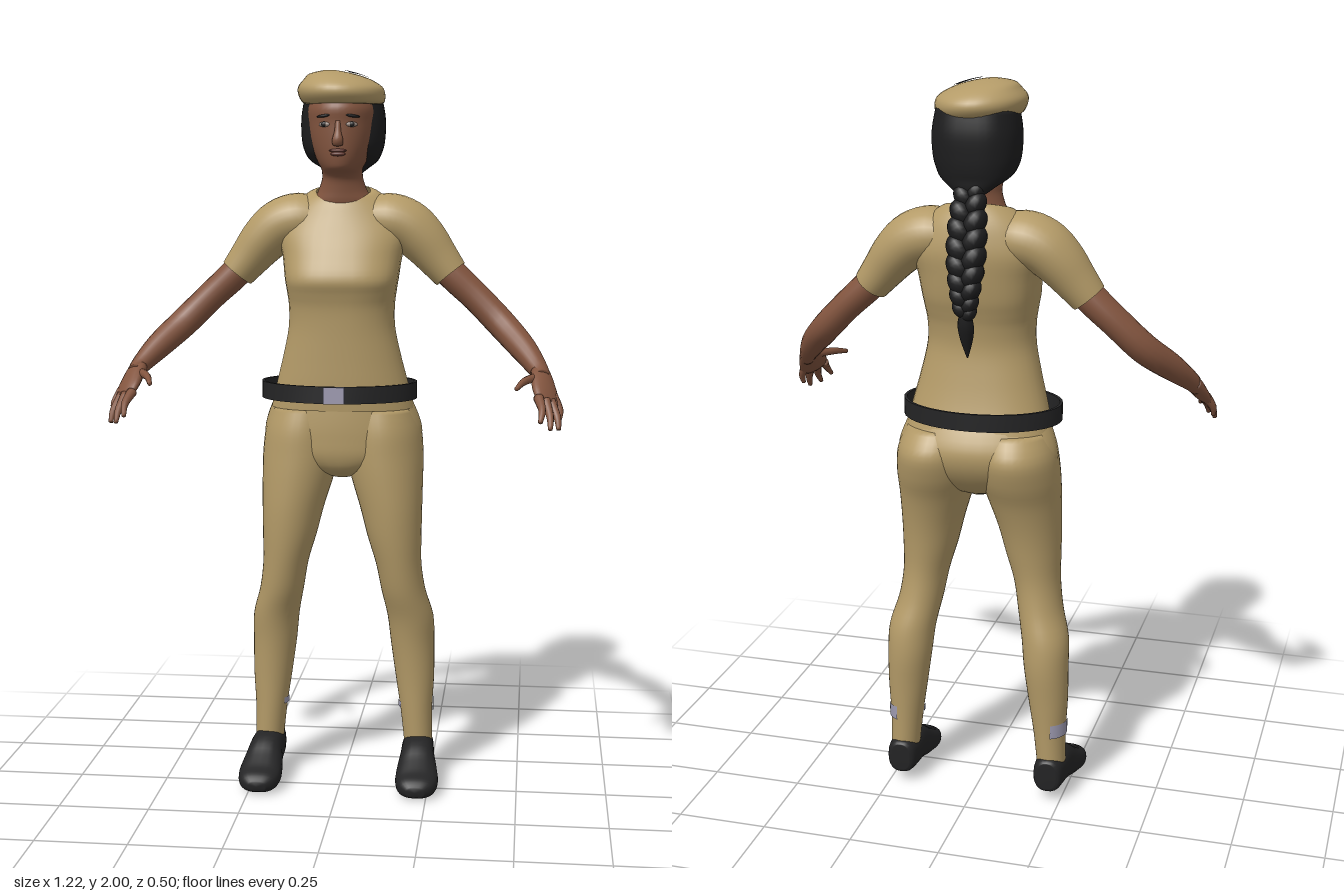
import * as THREE from 'three';
import { toCreasedNormals } from 'three/addons/utils/BufferGeometryUtils.js';

const material = (name, color) => {
  const m = new THREE.MeshStandardMaterial({ color });
  m.name = name;
  return m;
};
const V = (x, y, z) => new THREE.Vector3(x, y, z);

// Smoothly adds k steps between rows of numbers (Catmull-Rom per column)
function refine(rows, k) {
  const out = [], at = i => rows[Math.max(0, Math.min(rows.length - 1, i))];
  for (let i = 0; i < rows.length - 1; i++) {
    for (let j = 0; j < k; j++) {
      const t = j / k;
      out.push(rows[i].map((b, c) => {
        const a = at(i - 1)[c], d = at(i + 1)[c], e = at(i + 2)[c];
        return b + 0.5 * t * (d - a + t * (2 * a - 5 * b + 4 * d - e + t * (3 * (b - d) + e - a)));
      }));
    }
  }
  out.push(rows[rows.length - 1]);
  return out;
}

// Skins closed rings of points, optionally capping both ends
function skin(rings, caps) {
  const n = rings[0].length, pos = [], idx = [];
  rings.forEach(r => r.forEach(p => pos.push(p.x, p.y, p.z)));
  for (let i = 0; i < rings.length - 1; i++) {
    for (let j = 0; j < n; j++) {
      const a = i * n + j, b = i * n + (j + 1) % n;
      idx.push(a, a + n, b, b, a + n, b + n);
    }
  }
  if (caps) [0, rings.length - 1].forEach((r, end) => {
    const c = V(0, 0, 0), m = pos.length / 3;
    rings[r].forEach(p => c.addScaledVector(p, 1 / n));
    pos.push(c.x, c.y, c.z);
    for (let j = 0; j < n; j++) {
      const a = r * n + j, b = r * n + (j + 1) % n;
      if (end) idx.push(a, m, b); else idx.push(a, b, m);
    }
  });
  const g = new THREE.BufferGeometry();
  g.setAttribute('position', new THREE.Float32BufferAttribute(pos, 3));
  g.setIndex(idx);
  g.computeVertexNormals();
  return g;
}

const power = (v, e) => Math.sign(v) * Math.pow(Math.abs(v), e);

// Horizontal sections: [y, centreX, halfWidth, frontZ, backZ, roundness, frontLift]
function loft(rows, { caps = true, steps = 4, n = 36 } = {}) {
  const full = rows.map(([y, cx, rx, f, b, e = 1, lift = 0]) => [y, cx, rx, f, b, e, lift]);
  return skin(refine(full, steps).map(([y, cx, rx, f, b, e, lift]) =>
    Array.from({ length: n }, (_, j) => {
      const a = j / n * Math.PI * 2, s = power(Math.sin(a), e);
      return V(cx + rx * power(Math.cos(a), e), y + lift * s, (f + b) / 2 + (f - b) / 2 * s);
    })), caps);
}

// Sections across a path: [x, y, z, radius, radius along ref]
function limb(rows, { ref = V(0, 0, 1), caps = true, steps = 4, n = 16, e = 1 } = {}) {
  const r = refine(rows, steps), p = r.map(q => V(q[0], q[1], q[2]));
  return skin(r.map((q, i) => {
    const t = p[Math.min(i + 1, p.length - 1)].clone().sub(p[Math.max(i - 1, 0)]).normalize();
    const b = ref.clone().addScaledVector(t, -ref.dot(t)).normalize();
    const m = t.clone().cross(b);
    return Array.from({ length: n }, (_, j) => {
      const a = j / n * Math.PI * 2;
      return p[i].clone().addScaledVector(m, q[3] * power(Math.cos(a), e))
        .addScaledVector(b, q[4] * power(Math.sin(a), e));
    });
  }), caps);
}

export function createModel() {
  const model = new THREE.Group();
  model.name = 'uniformedWoman';
  const tan = material('khaki cloth', 0xb49b68), skinMat = material('brown skin', 0x83553f);
  const hair = material('black hair', 0x1d1d1e), leather = material('black leather', 0x242425);
  const metal = material('pale lavender', 0x9d9ab0), lip = material('lips', 0x653b33);
  const eyeWhite = material('eye white', 0x9b8a80);
  tan.side = THREE.DoubleSide;
  const add = (name, g, m, parent = model) => {
    const mesh = new THREE.Mesh(g, m);
    mesh.name = name;
    parent.add(mesh);
    return mesh;
  };
  const blob = (name, m, x, y, z, a, b, c, rz = 0) => {
    const mesh = add(name, new THREE.SphereGeometry(1, 16, 10), m);
    mesh.scale.set(a, b, c);
    mesh.position.set(x, y, z);
    mesh.rotation.z = rz;
    return mesh;
  };

  // Shirt and trousers
  add('shirt', loft([
    [1.08, 0, .2, .036, -.207, .9], [1.15, 0, .183, .04, -.187, .9], [1.22, 0, .165, .042, -.172, .9],
    [1.30, 0, .148, .045, -.16, .9], [1.36, 0, .146, .05, -.165, .85], [1.40, 0, .15, .06, -.175, .78],
    [1.44, 0, .156, .07, -.187, .75], [1.50, 0, .165, .047, -.198, .82], [1.56, 0, .18, .02, -.205, .9],
    [1.61, 0, .165, 0, -.2, 1, -.004], [1.645, 0, .133, -.012, -.188, 1, -.01],
    [1.672, 0, .095, -.022, -.168, 1, -.016], [1.675, 0, .075, -.026, -.155, 1, -.018],
  ], { caps: false }), tan);
  add('trouserSeat', loft([
    [.885, 0, .03, -.04, -.11], [.91, 0, .11, .01, -.16], [.95, 0, .2, .03, -.2], [1.0, 0, .221, .034, -.226],
    [1.05, 0, .214, .034, -.226], [1.12, 0, .185, .03, -.19],
  ]), tan);

  // Belt with buckle
  const belt = [[1.105, .209], [1.105, .217], [1.152, .217], [1.152, .209], [1.105, .209]]
    .map(([y, r]) => [y, -.01, r, r - .148, -r - .021]);
  add('belt', toCreasedNormals(loft(belt, { caps: false, steps: 1, n: 48 }), .8), leather);
  add('beltBuckle', new THREE.BoxGeometry(.058, .046, .009), metal).position.set(-.009, 1.128, .069);

  for (const s of [1, -1]) {
    const side = s > 0 ? 'left' : 'right';
    const flip = rows => rows.map(([x, ...rest]) => [x * s, ...rest]);

    // Leg, ankle patches and shoe
    add(side + 'TrouserLeg', loft([
      [.10, .216, .04, -.06, -.155], [.2, .21, .045, -.055, -.16], [.3, .205, .055, -.05, -.168],
      [.4, .198, .062, -.04, -.177], [.48, .192, .065, -.024, -.172], [.56, .173, .062, 0, -.152],
      [.64, .16, .064, .016, -.143], [.72, .148, .076, .028, -.15], [.8, .138, .087, .035, -.165],
      [.88, .126, .1, .037, -.19], [.95, .117, .109, .036, -.222], [1.02, .112, .106, .033, -.237],
      [1.08, .105, .09, .02, -.2],
    ].map(([y, cx, ...rest]) => [y, cx * s, ...rest])), tan);
    for (const [mid, arc, h] of [[2.1, 1.5, .04], [-1.3, .7, .018]]) {
      const patch = add(side + 'AnklePatch',
        new THREE.CylinderGeometry(1, 1, h, 10, 1, true, s * mid - arc / 2, arc), metal);
      patch.scale.set(.05, 1, .057);
      patch.position.set(.209 * s, .22, -.108);
    }
    add(side + 'Shoe', limb(flip([
      [.215, .082, -.165, .026, .04], [.215, .082, -.152, .04, .05], [.216, .08, -.1, .046, .053],
      [.218, .075, -.05, .048, .055], [.22, .055, 0, .056, .045], [.222, .038, .05, .06, .035],
      [.222, .03, .09, .05, .028], [.222, .027, .115, .024, .013],
    ]), { ref: V(0, 1, 0), n: 24, e: .8 }), leather);

    // Sleeve, arm and hand
    add(side + 'Sleeve', limb(flip([
      [.06, 1.592, -.1, .06, .075], [.12, 1.597, -.1, .073, .088], [.175, 1.58, -.1, .073, .086],
      [.22, 1.542, -.098, .067, .077], [.262, 1.492, -.095, .057, .063], [.297, 1.449, -.092, .049, .054],
    ]), { caps: false, n: 28 }), tan);
    add(side + 'Arm', limb(flip([
      [.24, 1.515, -.092, .04, .042], [.30, 1.45, -.091, .042, .046], [.37, 1.385, -.085, .04, .044],
      [.44, 1.315, -.062, .04, .042], [.5, 1.255, 0, .036, .037], [.542, 1.205, .06, .026, .029],
      [.553, 1.185, .09, .02, .03],
    ])), skinMat);
    add(side + 'Palm', limb(flip([
      [.546, 1.2, .068, .022, .028], [.553, 1.178, .1, .021, .037], [.561, 1.15, .135, .018, .042],
      [.566, 1.13, .16, .012, .036],
    ]), { ref: V(-.05 * s, .01, .06).normalize() }), skinMat);
    const fingers = {
      IndexFinger: [[.542, 1.145, .17], [.552, 1.118, .215], [.548, 1.09, .245]],
      MiddleFinger: [[.56, 1.137, .162], [.573, 1.1, .2], [.574, 1.07, .228]],
      RingFinger: [[.574, 1.133, .148], [.592, 1.095, .178], [.596, 1.065, .195]],
      LittleFinger: [[.58, 1.143, .124], [.598, 1.11, .14], [.598, 1.085, .15]],
      Thumb: [[.54, 1.19, .09], [.505, 1.185, .15], [.485, 1.172, .207]],
    };
    for (const [name, pts] of Object.entries(fingers)) {
      const rows = pts.map((p, i) => [...p, [.013, .01, .006][i], [.014, .01, .006][i]]);
      add(side + name, limb(flip(rows), { ref: V(s, 0, .3).normalize(), n: 10 }), skinMat);
    }

    // Eye and brow
    blob(side + 'EyeWhite', eyeWhite, .037 * s, 1.853, .041, .016, .007, .005).rotation.y = .35 * s;
    blob(side + 'Iris', hair, .037 * s, 1.853, .044, .008, .007, .004);
    blob(side + 'Eyebrow', hair, .04 * s, 1.875, .041, .02, .004, .005, -.12 * s).rotation.y = .4 * s;
  }

  // Head, neck and face
  add('headAndNeck', loft([
    [1.60, 0, .09, -.03, -.15], [1.645, 0, .085, -.016, -.15], [1.675, 0, .068, -.012, -.148],
    [1.705, 0, .057, -.006, -.145], [1.722, 0, .055, .008, -.145], [1.736, 0, .056, .033, -.15],
    [1.755, 0, .066, .041, -.155], [1.785, 0, .078, .045, -.16], [1.82, 0, .087, .047, -.165],
    [1.86, 0, .092, .048, -.17], [1.9, 0, .092, .05, -.17], [1.95, 0, .075, .02, -.15],
  ]), skinMat);
  add('nose', limb([
    [0, 1.862, .044, .007, .006], [0, 1.835, .049, .009, .009], [0, 1.812, .053, .015, .013],
    [0, 1.8, .048, .014, .01],
  ], { n: 12 }), skinMat);
  blob('upperLip', lip, 0, 1.784, .044, .024, .005, .009);
  blob('lowerLip', lip, 0, 1.775, .043, .02, .006, .009);

  // Hair and braid
  add('hair', loft([
    [1.715, 0, .035, -.14, -.185], [1.735, 0, .062, -.1, -.19], [1.755, 0, .09, -.045, -.192],
    [1.775, 0, .103, -.01, -.196], [1.81, 0, .113, .002, -.2], [1.87, 0, .115, .004, -.203],
    [1.93, 0, .105, .002, -.195],
  ].map(r => [...r, .8])), hair);
  const spine = refine([
    [1.725, -.168, .034], [1.65, -.192, .042], [1.56, -.21, .044], [1.48, -.222, .036], [1.42, -.222, .026],
  ], 4);
  spine.forEach(([y, z, r], i) => {
    const s = i % 2 ? 1 : -1;
    blob('braidStrand', hair, s * r * .42, y, z, r * .72, r * .95, r * .82, -s * .6);
  });
  add('braidEnd', limb([
    [0, 1.42, -.222, .014, .016], [0, 1.385, -.216, .022, .02], [0, 1.345, -.208, .017, .015],
    [0, 1.295, -.2, .002, .002],
  ], { n: 10 }), hair);

  // Beret with a patch that follows its crown
  add('beret', loft([
    [1.908, .004, .1, .045, -.185], [1.915, .002, .112, .06, -.2], [1.935, -.002, .118, .073, -.212],
    [1.955, -.006, .114, .067, -.206], [1.975, -.015, .09, .04, -.18], [1.99, -.03, .06, 0, -.14],
    [1.999, -.035, .02, -.05, -.09],
  ]), tan);
  const badge = new THREE.PlaneGeometry(.068, .062, 6, 6).rotateX(-Math.PI / 2).rotateY(.6).translate(.037, 0, -.068);
  const bp = badge.attributes.position;
  for (let i = 0; i < bp.count; i++) {
    const dx = bp.getX(i) + .035, dz = bp.getZ(i) + .07;
    bp.setY(i, 2.003 - 2.05 * (dx * dx + dz * dz));
  }
  badge.computeVertexNormals();
  add('beretPatch', badge, leather);
  return model;
}
